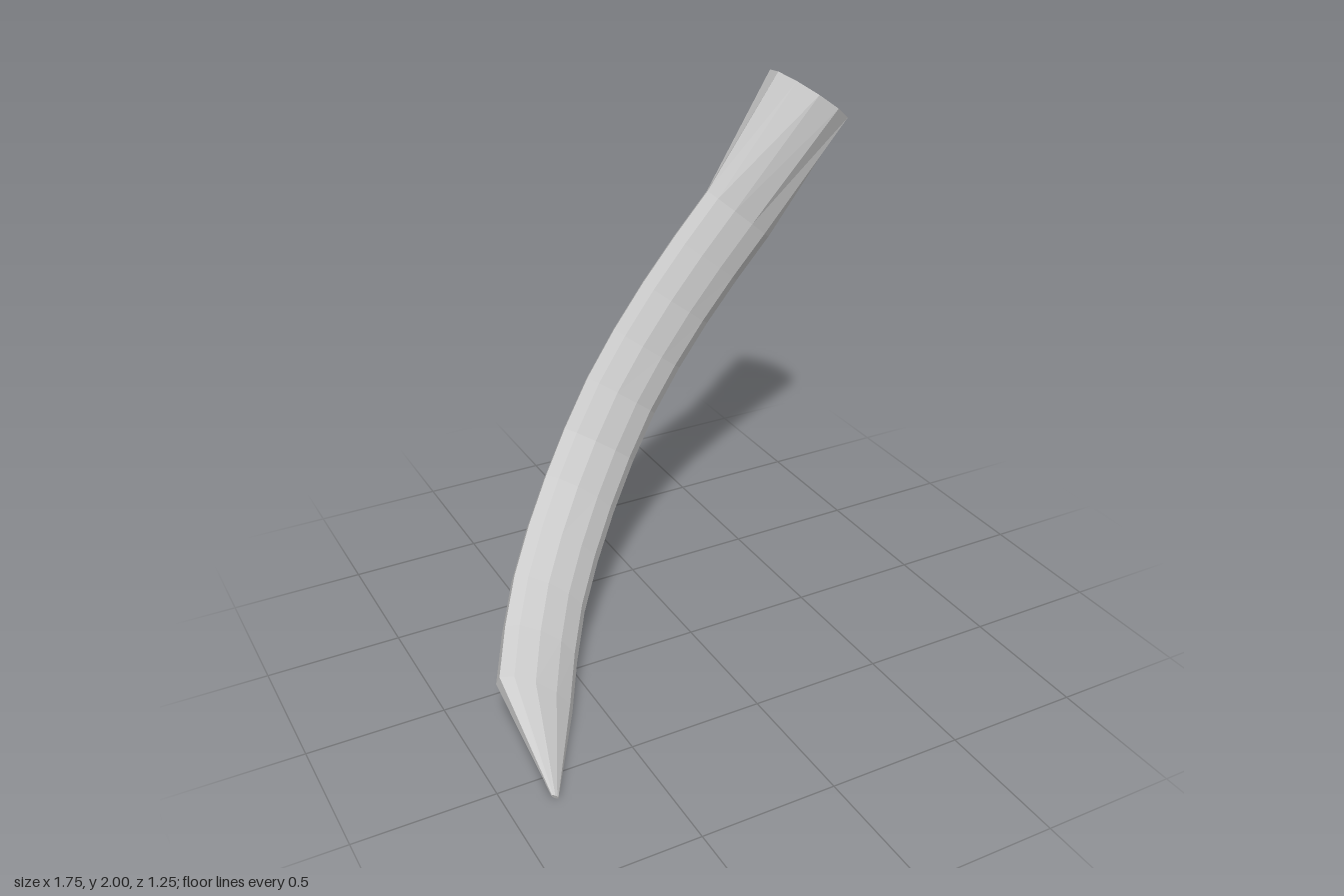
import * as THREE from 'three';

const SIDES = 11;
const BODY_STEPS = 10;
const v = (x, y, z) => new THREE.Vector3(x, y, z);

// One elliptical ring: "wide" is its long direction, squared up to the tangent
function makeRing(center, tangent, wide, a, b) {
  const t = tangent.clone().normalize();
  const w = wide.clone().addScaledVector(t, -wide.dot(t)).normalize();
  const n = t.clone().cross(w);
  return Array.from({ length: SIDES }, (_, i) => {
    const angle = Math.PI + (i / SIDES) * Math.PI * 2;
    return center.clone()
      .addScaledVector(w, a * Math.cos(angle))
      .addScaledVector(n, b * Math.sin(angle));
  });
}

// Skin a list of rings, optionally closing the first one
function loft(rings, capStart) {
  const positions = rings.flat().flatMap((p) => p.toArray());
  const index = [];
  for (let i = 0; i < rings.length - 1; i++) {
    for (let j = 0; j < SIDES; j++) {
      const k = (j + 1) % SIDES;
      const a = i * SIDES + j, b = i * SIDES + k;
      index.push(a, b, b + SIDES, a, b + SIDES, a + SIDES);
    }
  }
  if (capStart) for (let j = 1; j < SIDES - 1; j++) index.push(0, j + 1, j);
  const geometry = new THREE.BufferGeometry();
  geometry.setAttribute('position', new THREE.Float32BufferAttribute(positions, 3));
  geometry.setIndex(index);
  geometry.computeVertexNormals();
  return geometry;
}

export function createModel() {
  const group = new THREE.Group();
  group.name = 'curvedHorn';
  const material = new THREE.MeshStandardMaterial({
    color: 0xcccccc, flatShading: true, side: THREE.DoubleSide,
  });
  const add = (name, geometry) => {
    const mesh = new THREE.Mesh(geometry, material);
    mesh.name = name;
    group.add(mesh);
  };

  // Centre line of the flattened body, from the tip end upwards
  const spine = new THREE.CatmullRomCurve3([
    v(-0.75, 0.14, 0.25), v(-0.6, 0.27, 0.0), v(-0.475, 0.39, -0.15),
    v(-0.27, 0.6, -0.33), v(-0.065, 0.865, -0.425), v(0.135, 1.117, -0.455),
    v(0.3, 1.32, -0.453), v(0.44, 1.485, -0.443),
  ]);
  const wideLow = v(0.74, -0.67, 0), wideHigh = v(0.8, -0.6, 0);
  const body = [];
  for (let i = 0; i <= BODY_STEPS; i++) {
    const u = i / BODY_STEPS;
    const wide = wideLow.clone().lerp(wideHigh, Math.min(1, u * 2));
    body.push(makeRing(spine.getPointAt(u), spine.getTangentAt(u), wide, 0.17, 0.083));
  }
  add('body', loft(body, false));

  // Point: narrows from the body to a tiny blunt end
  const tip = makeRing(v(-0.842, 0.015, 0.618), spine.getTangentAt(0), wideLow, 0.015, 0.008);
  add('point', loft([tip, body[0]], true));

  // Socket: flares from the flat body to an open round mouth
  const mouth = makeRing(v(0.745, 1.9, -0.45), v(0.6, 0.8, 0), wideHigh, 0.171, 0.174);
  add('socket', loft([body[BODY_STEPS], mouth], false));

  return group;
}
